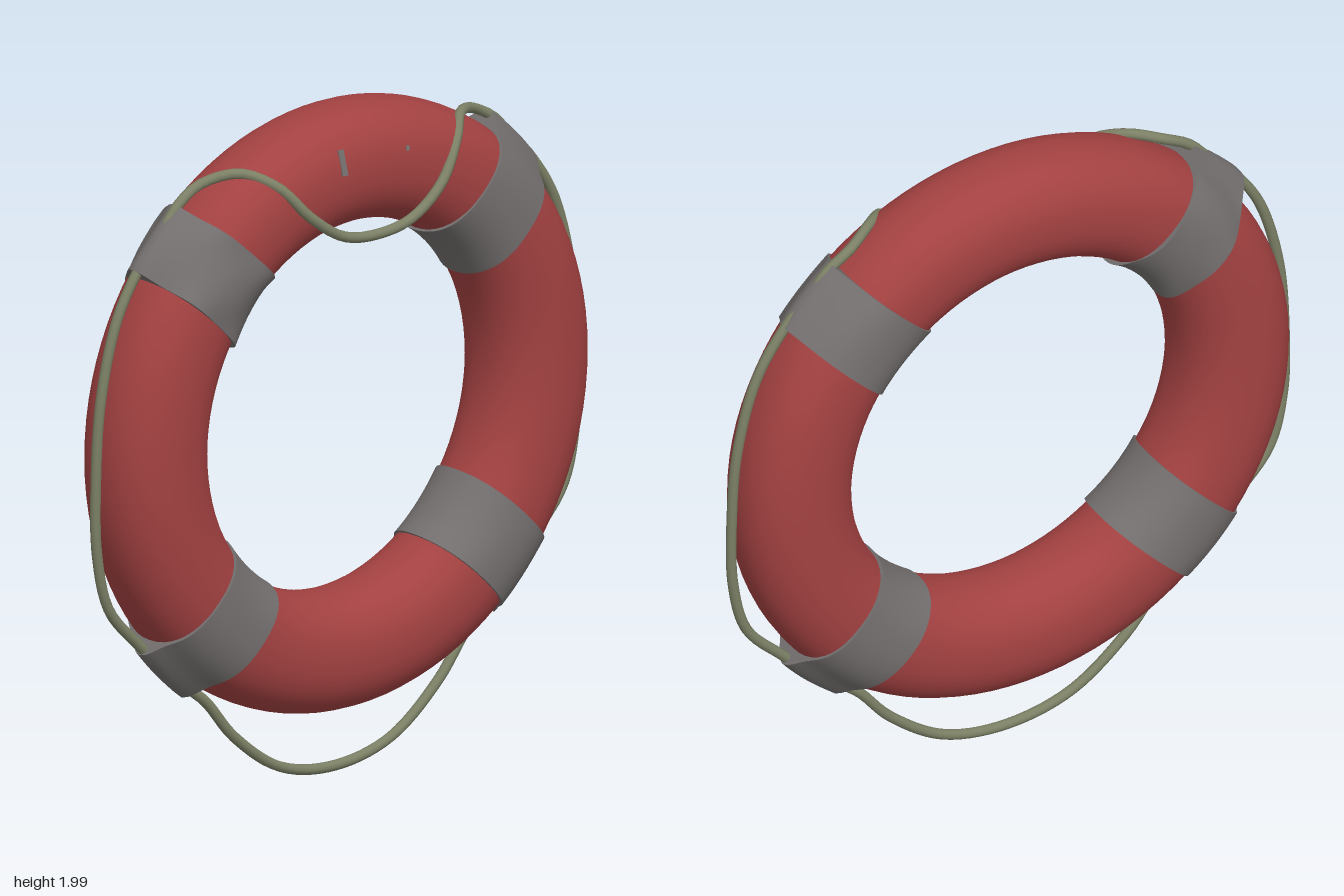
import * as THREE from 'three';
import { toCreasedNormals } from 'three/addons/utils/BufferGeometryUtils.js';

const CY = 1.1, CZ = -0.015;          // ring centre
const R = 0.725, A = 0.175, B = 0.16; // ring radius, tube half-depth radially and along z

// Rounded cross-section, slightly fuller than an ellipse
const round = (c) => Math.sign(c) * Math.pow(Math.abs(c), 2 / 2.25);
const section = (phi, lift = 0) => [
  R + (A + lift) * round(Math.cos(phi)),
  (B + lift) * round(Math.sin(phi)),
];

// Surface from a rule point(i, j); j always wraps, i wraps when closed
function surface(nu, nv, closed, point) {
  const pos = [], idx = [];
  const rows = closed ? nu : nu + 1;
  for (let i = 0; i < rows; i++) for (let j = 0; j < nv; j++) pos.push(...point(i, j));
  for (let i = 0; i < nu; i++) {
    for (let j = 0; j < nv; j++) {
      const i2 = (i + 1) % rows, j2 = (j + 1) % nv;
      const a = i * nv + j, b = i2 * nv + j, c = i2 * nv + j2, d = i * nv + j2;
      idx.push(a, b, c, a, c, d);
    }
  }
  const g = new THREE.BufferGeometry();
  g.setAttribute('position', new THREE.Float32BufferAttribute(pos, 3));
  g.setIndex(idx);
  g.computeVertexNormals();
  return g;
}

function ringGeometry() {
  const nu = 96, nv = 40;
  return surface(nu, nv, true, (i, j) => {
    const t = (i / nu) * Math.PI * 2;
    const [r, z] = section((j / nv) * Math.PI * 2);
    return [r * Math.cos(t), r * Math.sin(t), z];
  });
}

// Parallel-sided band wrapped round the tube, bulging over the rope
function strapGeometry(angle, wrinkle) {
  const n = 10, nv = 64, half = 0.113;
  return toCreasedNormals(surface(n + 2, nv, false, (i, j) => {
    const end = i === 0 || i === n + 2;
    const s = THREE.MathUtils.clamp((i - 1) / n, 0, 1) * 2 - 1;
    const phi = (j / nv) * Math.PI * 2;
    const off = Math.atan2(Math.sin(phi), Math.cos(phi));
    const fold = wrinkle * Math.sin(phi * 5 + s * 2.5) * (0.4 + 0.6 * s * s);
    let [r, z] = section(phi, end ? -0.01 : 0.008 + fold);
    if (!end) r += 0.045 * Math.exp(-((off / 0.28) ** 2));
    const t = angle + Math.asin((s * half) / r);
    return [r * Math.cos(t), r * Math.sin(t), z];
  }), 0.8);
}

// Right half of the rope, from bottom centre to the top sag
const ropeHalf = [
  [0, 0.02, CZ], [0.21, 0.06, CZ], [0.39, 0.19, CZ], [0.5, 0.32, CZ],
  [0.59, 0.39, CZ], [0.66, 0.45, CZ], [0.75, 0.54, CZ], [0.865, 0.67, CZ],
  [0.91, 0.84, CZ], [0.915, 1.07, CZ], [0.895, 1.31, CZ], [0.83, 1.54, CZ],
  [0.735, 1.685, CZ], [0.66, 1.76, CZ], [0.6, 1.825, CZ], [0.52, 1.87, -0.01],
  [0.42, 1.892, 0.045], [0.34, 1.85, 0.118], [0.25, 1.75, 0.158],
  [0.13, 1.67, 0.165], [0, 1.65, 0.165],
];

function ropeGeometry() {
  const left = ropeHalf.slice(1, -1).reverse().map(([x, y, z]) => [-x, y, z]);
  const points = [...ropeHalf, ...left].map((p) => new THREE.Vector3(...p));
  const curve = new THREE.CatmullRomCurve3(points, true, 'centripetal');
  return new THREE.TubeGeometry(curve, 200, 0.0155, 10, true);
}

export function createModel() {
  const red = new THREE.MeshStandardMaterial({ color: 0xa34141 });
  red.name = 'faded red';
  const grey = new THREE.MeshStandardMaterial({ color: 0x736f6e });
  grey.name = 'strap grey';
  const khaki = new THREE.MeshStandardMaterial({ color: 0x7b8065 });
  khaki.name = 'rope khaki';

  const model = new THREE.Group();
  model.name = 'lifebuoy';
  const add = (name, geometry, material, x = 0, y = CY, z = CZ) => {
    const mesh = new THREE.Mesh(geometry, material);
    mesh.name = name;
    mesh.position.set(x, y, z);
    model.add(mesh);
    return mesh;
  };

  add('ring', ringGeometry(), red);

  // Four straps on the diagonals; the upper right one is creased
  const straps = [
    ['upperLeftStrap', 45, 0.001], ['upperRightStrap', 137, 0.006],
    ['lowerRightStrap', 225, 0.001], ['lowerLeftStrap', 315, 0.001],
  ];
  for (const [name, degrees, wrinkle] of straps) {
    add(name, strapGeometry(THREE.MathUtils.degToRad(degrees), wrinkle), grey);
  }

  add('rope', ropeGeometry(), khaki, 0, 0, 0);

  // Small worn marks on the front face
  add('wornMark', new THREE.BoxGeometry(0.02, 0.075, 0.009), grey, -0.11, 1.878, 0.135).rotation.x = -0.28;
  add('wornSpeck', new THREE.BoxGeometry(0.012, 0.015, 0.009), grey, 0.135, 1.87, 0.136).rotation.x = -0.28;

  return model;
}
